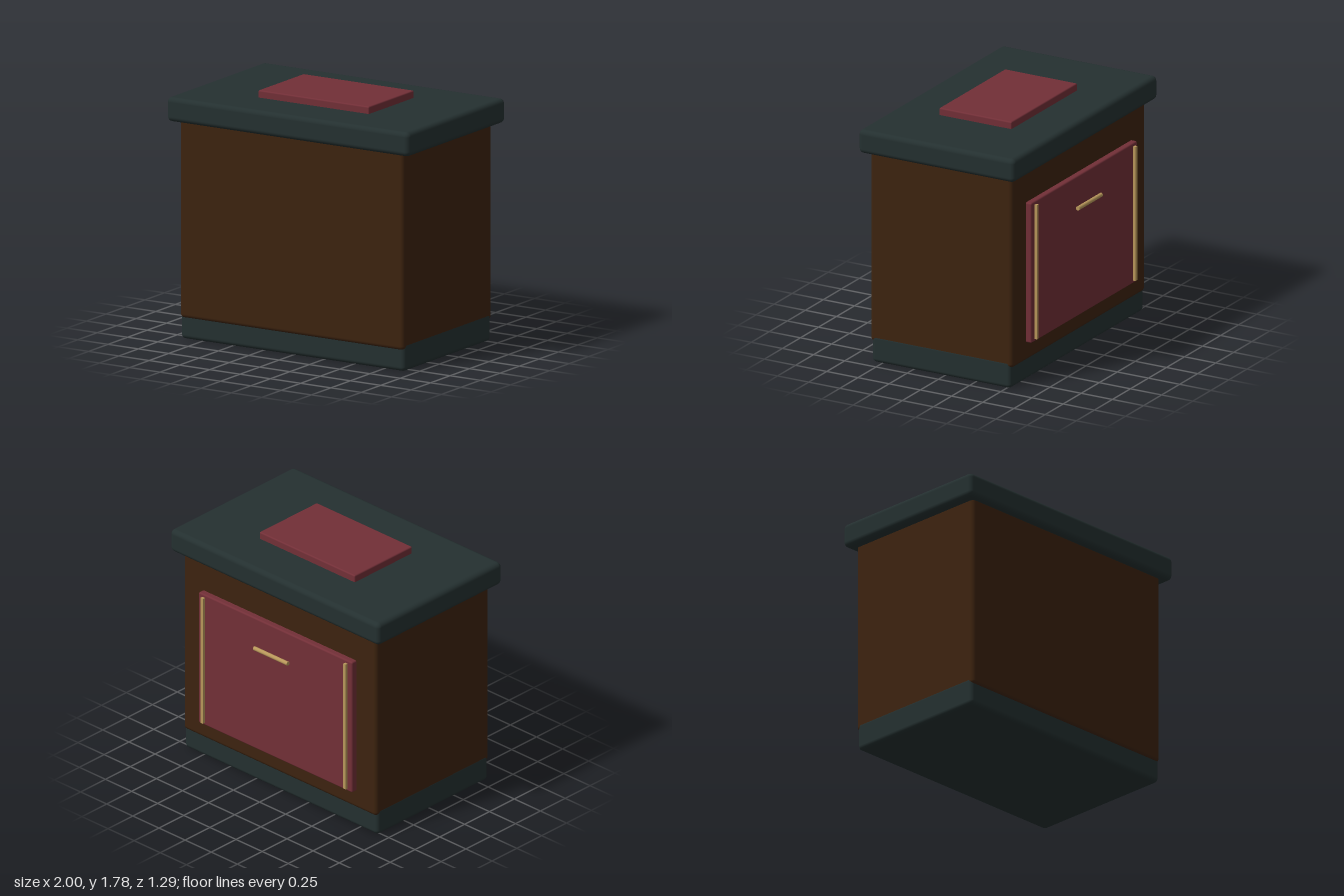
import * as THREE from 'three';
import { RoundedBoxGeometry } from 'three/addons/geometries/RoundedBoxGeometry.js';

const material = (name, color) => {
  const m = new THREE.MeshStandardMaterial({ color });
  m.name = name;
  return m;
};

export function createModel() {
  const group = new THREE.Group();
  const slate = material('dark slate', 0x243030);
  const wood = material('dark wood', 0x3d230f);
  const wine = material('wine red', 0x722f37);
  const brass = material('brass', 0xb8975a);

  const add = (name, geometry, mat, x, y, z) => {
    const mesh = new THREE.Mesh(geometry, mat);
    mesh.name = name;
    mesh.position.set(x, y, z);
    group.add(mesh);
    return mesh;
  };
  // Rounded block given by half width, y range, z range and edge radius
  const block = (name, mat, halfX, y0, y1, z0, z1, r) =>
    add(name, new RoundedBoxGeometry(halfX * 2, y1 - y0, z1 - z0, 4, r), mat,
      0, (y0 + y1) / 2, (z0 + z1) / 2);

  // Cabinet
  block('plinth', slate, 0.925, 0, 0.205, -0.535, 0.58, 0.03);
  block('cabinetBody', wood, 0.924, 0.15, 1.58, -0.548, 0.592, 0.03);
  block('countertop', slate, 1, 1.552, 1.725, -0.605, 0.645, 0.035);
  block('topPad', wine, 0.457, 1.70, 1.777, -0.272, 0.308, 0.01);

  // Back door with its trim and handle
  block('doorPanel', wine, 0.735, 0.288, 1.322, -0.592, -0.53, 0.012);
  for (const side of [-1, 1]) {
    add(side > 0 ? 'leftTrim' : 'rightTrim', new THREE.BoxGeometry(0.024, 0.99, 0.02),
      brass, side * 0.683, 0.805, -0.604);
  }
  const handle = add('doorHandle', new THREE.CylinderGeometry(0.015, 0.015, 0.324, 16),
    brass, 0, 1.112, -0.633);
  handle.rotation.z = Math.PI / 2;

  return group;
}
